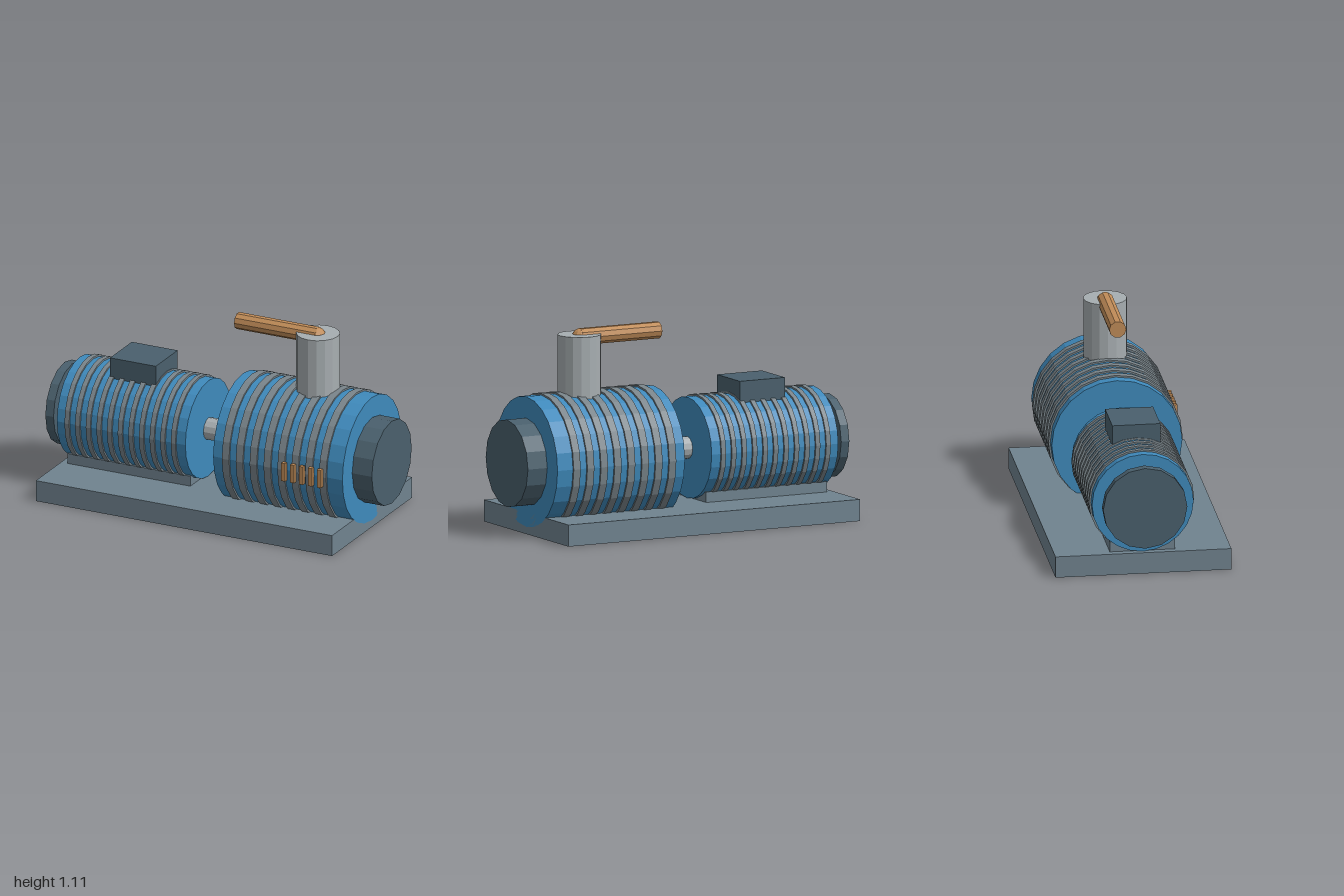
import * as THREE from 'three';

const AXIS_Y = 0.4;

function material(name, color) {
  const m = new THREE.MeshStandardMaterial({ color, flatShading: true });
  m.name = name;
  return m;
}

export function createModel() {
  const blue = material('blue paint', 0x3f8abc);
  const slate = material('slate base', 0x70838f);
  const dark = material('dark steel', 0x4a606d);
  const finGrey = material('fin grey', 0x7a858b);
  const silver = material('silver', 0xa7aeb1);
  const copper = material('copper', 0xc08c58);

  const model = new THREE.Group();
  model.name = 'pumpUnit';

  function add(name, geometry, mat, x, y, z = 0, parent = model) {
    const mesh = new THREE.Mesh(geometry, mat);
    mesh.name = name;
    mesh.position.set(x, y, z);
    parent.add(mesh);
    return mesh;
  }

  // Box given by its x and y limits, depth and centre z
  function box(name, mat, x0, x1, y0, y1, depth, z = 0, parent = model) {
    return add(name, new THREE.BoxGeometry(x1 - x0, y1 - y0, depth), mat,
      (x0 + x1) / 2, (y0 + y1) / 2, z, parent);
  }

  // Drum lying along x
  function drum(name, mat, x0, x1, radius, sides, y = AXIS_Y, parent = model) {
    const g = new THREE.CylinderGeometry(radius, radius, x1 - x0, sides);
    g.rotateZ(Math.PI / 2);
    return add(name, g, mat, (x0 + x1) / 2, y, 0, parent);
  }

  // Evenly spaced rings around a drum
  function fins(name, count, first, last, width, radius) {
    const group = new THREE.Group();
    group.name = name;
    for (let i = 0; i < count; i++) {
      const x = first + (last - first) * i / (count - 1);
      drum('fin', finGrey, x - width / 2, x + width / 2, radius, 24, AXIS_Y, group);
    }
    model.add(group);
  }

  // Base plate and motor saddle
  box('basePlate', slate, -0.93, 0.88, 0, 0.12, 0.97);
  box('motorSaddle', slate, -0.89, -0.14, 0.12, 0.178, 0.36);

  // Motor
  drum('motorBody', blue, -0.905, -0.12, 0.28, 24);
  fins('motorFins', 11, -0.84, -0.19, 0.028, 0.29);
  drum('motorEndCap', dark, -1, -0.95, 0.232, 16);
  box('terminalBox', dark, -0.655, -0.375, 0.6, 0.765, 0.265);

  // Drive shaft
  drum('driveShaft', silver, -0.13, 0.06, 0.062, 12);

  // Pump
  drum('pumpBody', blue, 0.09, 0.88, 0.36, 24);
  fins('pumpFins', 8, 0.17, 0.763, 0.043, 0.37);
  drum('pumpEndCap', dark, 0.87, 1, 0.242, 16);

  // Vent bars on the front of the pump
  for (let i = 0; i < 5; i++) {
    const x = 0.535 + i * 0.0545;
    box('ventBar', copper, x - 0.012, x + 0.012, 0.345, 0.45, 0.024, 0.382);
  }

  // Outlet stack with its copper pipe and rounded elbow
  add('outletStack', new THREE.CylinderGeometry(0.12, 0.12, 0.38, 16), silver, 0.55, 0.89);
  drum('outletPipe', copper, 0.06, 0.55, 0.047, 10, 1.065);
  add('pipeElbow', new THREE.SphereGeometry(0.046, 10, 8), copper, 0.545, 1.065);

  return model;
}
